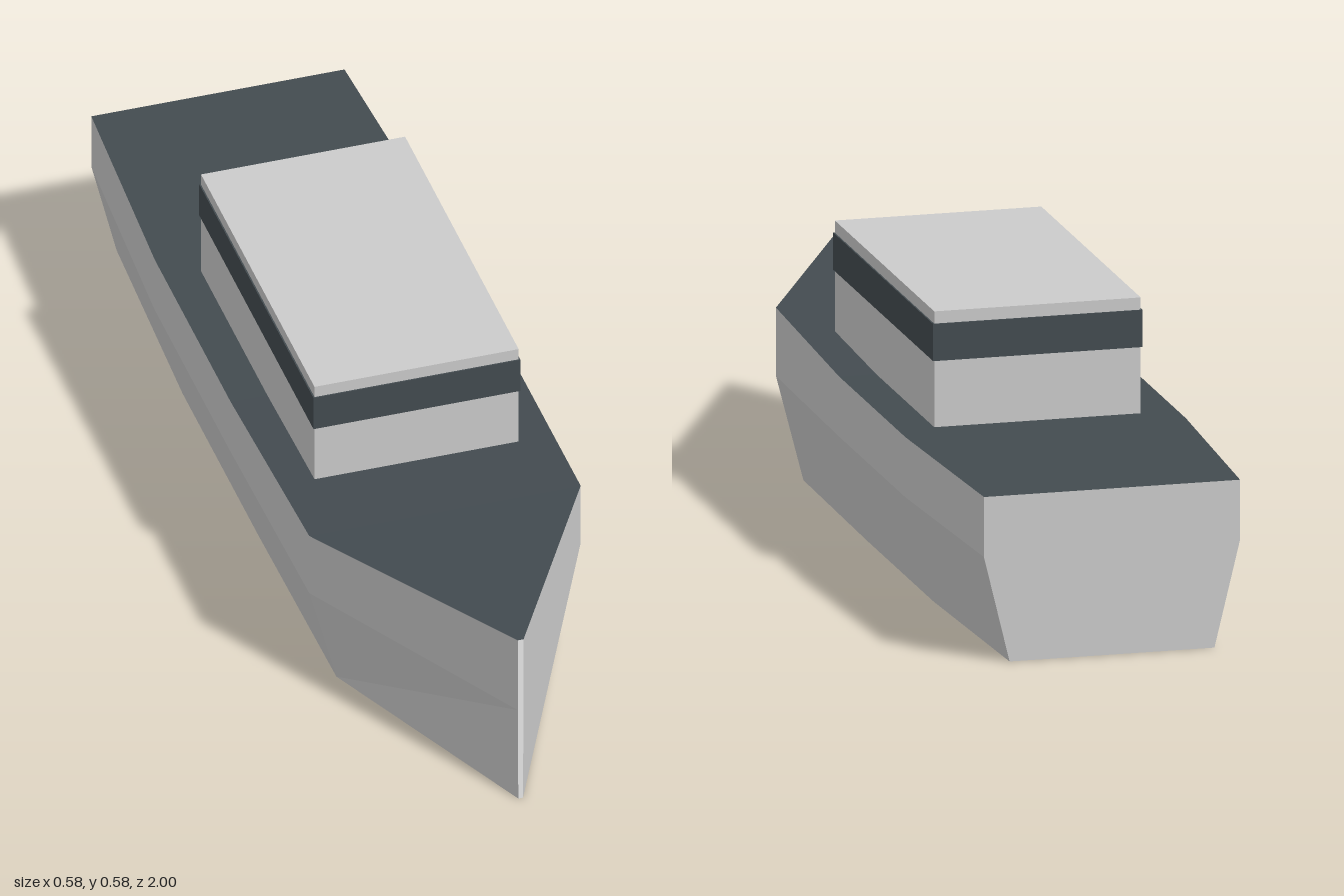
import * as THREE from 'three';

const paint = new THREE.MeshStandardMaterial({ name: 'light grey paint', color: 0xcbcbcb, side: THREE.DoubleSide, flatShading: true });
const dark = new THREE.MeshStandardMaterial({ name: 'dark slate', color: 0x434b50, side: THREE.DoubleSide, flatShading: true });

// Hull stations from stern to bow: z, half width, deck height
const stations = [
  [-1, 0.263, 0.34],
  [-0.5, 0.288, 0.34],
  [0, 0.288, 0.34],
  [0.5, 0.282, 0.357],
  [1, 0.006, 0.388],
];
const KNUCKLE = 0.217;
const KEEL_RATIO = 0.8;

// Cross-section running from the left deck edge, under the keel, to the right deck edge
const rings = stations.map(([z, w, h]) => {
  const k = w * KEEL_RATIO;
  return [[w, h, z], [w, KNUCKLE, z], [k, 0, z], [-k, 0, z], [-w, KNUCKLE, z], [-w, h, z]];
});

function meshFrom(name, positions, material) {
  const geometry = new THREE.BufferGeometry();
  geometry.setAttribute('position', new THREE.Float32BufferAttribute(positions.flat(), 3));
  geometry.computeVertexNormals();
  const mesh = new THREE.Mesh(geometry, material);
  mesh.name = name;
  return mesh;
}

// Strip of quads between neighbouring stations, from ring point i to ring point j
function strip(i, j) {
  const out = [];
  for (let s = 0; s < rings.length - 1; s++) {
    const a = rings[s][i], b = rings[s][j], c = rings[s + 1][j], d = rings[s + 1][i];
    out.push(a, d, c, a, c, b);
  }
  return out;
}

function box(name, w, y0, y1, depth, z, material) {
  const mesh = new THREE.Mesh(new THREE.BoxGeometry(w, y1 - y0, depth), material);
  mesh.position.set(0, (y0 + y1) / 2, z);
  mesh.name = name;
  return mesh;
}

export function createModel() {
  const ship = new THREE.Group();
  ship.name = 'ship';

  // Sides and bottom; the narrow bow slit stays open
  const hull = [];
  for (let j = 0; j < 5; j++) hull.push(...strip(j, j + 1));
  ship.add(meshFrom('hull', hull, paint));

  // Flat stern plate
  const stern = [];
  for (let j = 1; j < 5; j++) stern.push(rings[0][0], rings[0][j], rings[0][j + 1]);
  ship.add(meshFrom('stern', stern, paint));

  // Deck rising towards the bow
  ship.add(meshFrom('deck', strip(5, 0), dark));

  // Cabin with a window band: four thin plates around the walls
  const cabin = new THREE.Group();
  cabin.name = 'cabin';
  const zc = -0.0625, w = 0.424, d = 0.75, t = 0.003;
  cabin.add(box('cabinWalls', w, 0.335, 0.577, d, zc, paint));
  for (const s of [-1, 1]) {
    cabin.add(box('endWindow', w + 2 * t, 0.476, 0.552, t, zc + s * (d + t) / 2, dark));
    const side = box('sideWindow', t, 0.476, 0.552, d, zc, dark);
    side.position.x = s * (w + t) / 2;
    cabin.add(side);
  }
  ship.add(cabin);
  return ship;
}
